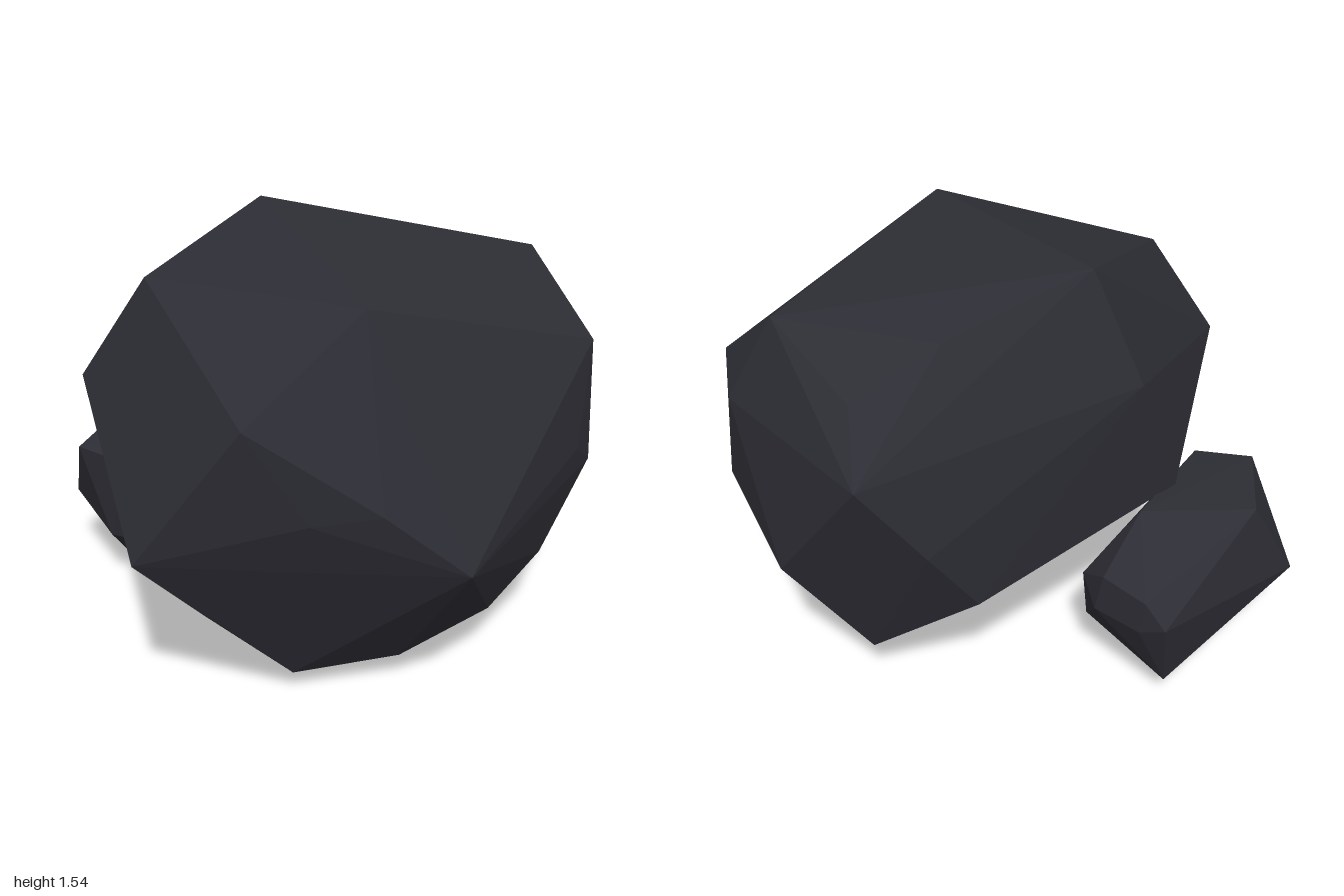
import * as THREE from 'three';
import { ConvexGeometry } from 'three/addons/geometries/ConvexGeometry.js';

// Faceted boulder: the convex hull of a few corner points
function rock(name, corners, material) {
  const points = corners.map(c => new THREE.Vector3(...c));
  const mesh = new THREE.Mesh(new ConvexGeometry(points), material);
  mesh.name = name;
  return mesh;
}

export function createModel() {
  const group = new THREE.Group();
  group.name = 'rocks';
  const stone = new THREE.MeshStandardMaterial({ color: 0x2d2d35 });
  stone.name = 'dark stone';

  // Large boulder
  group.add(rock('largeRock', [
    // crown
    [0.14, 1.54, -0.41], [-0.38, 1.43, 0.64], [0.76, 1.39, 0.40],
    [-0.53, 1.38, -0.25], [0.62, 1.41, -0.18], [0.86, 1.25, -0.01],
    // front and sides
    [-0.84, 1.16, 0.60], [-1.0, 0.66, 0.26], [-0.67, 0.84, 0.70],
    [-0.51, 0.87, 0.85], [-0.26, 0.63, 0.99], [0.56, 0.75, 0.80],
    [0.66, 1.13, 0.76], [0.72, 0.65, 0.75], [0.84, 1.08, 0.56],
    [1.0, 1.06, -0.14], [0.94, 0.55, 0.29],
    // back
    [0.82, 0.76, -0.26], [0.64, 0.49, -0.32], [0.08, 1.15, -0.58],
    [-0.15, 0.65, -0.61], [-0.68, 1.02, -0.44],
    // underside
    [0.76, 0.20, 0.06], [0.43, 0.05, 0.39], [0.48, 0.34, 0.73],
    [0.20, 0.21, 0.72], [-0.15, 0.12, 0.61], [-0.46, 0.09, 0.40],
    [-0.46, 0.10, -0.09],
  ], stone));

  // Small rock leaning against the back
  group.add(rock('smallRock', [
    // top
    [-0.19, 0.64, -0.91], [0.08, 0.66, -0.60], [-0.54, 0.61, -0.73],
    [-0.48, 0.59, -0.52], [0.28, 0.49, -0.58], [0.30, 0.47, -0.76],
    // sides
    [0.30, 0.39, -0.84], [0.30, 0.34, -0.74], [0.28, 0.34, -0.55],
    [-0.40, 0.29, -0.99], [-0.47, 0.23, -0.65], [-0.30, 0.43, -0.45],
    [0.20, 0.40, -0.45],
    // base
    [-0.22, 0, -0.76], [-0.31, 0.05, -0.80], [0.07, 0.04, -0.56],
    [0.20, 0.08, -0.80], [-0.20, 0.13, -0.41], [0.10, 0.13, -0.41],
  ], stone));
  return group;
}
